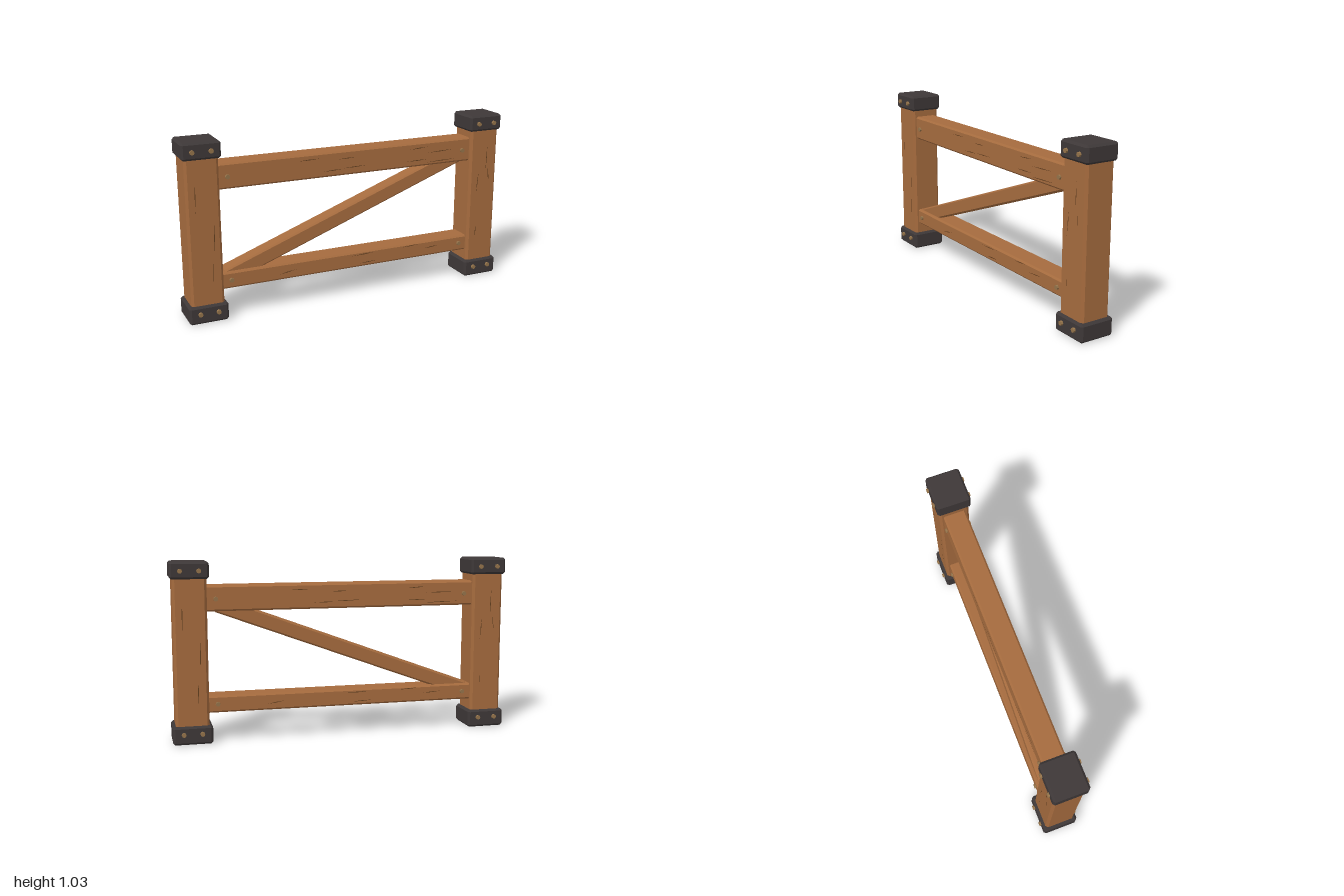
import * as THREE from 'three';
import { ConvexGeometry } from 'three/addons/geometries/ConvexGeometry.js';

const mat = (name, color, extra = {}) => {
  const m = new THREE.MeshStandardMaterial({ color, ...extra });
  m.name = name;
  return m;
};

// Box with every edge cut by a flat chamfer c
function chamferBox(w, h, d, c) {
  const pts = [];
  for (const sx of [-1, 1]) for (const sy of [-1, 1]) for (const sz of [-1, 1]) {
    for (let a = 0; a < 3; a++) {
      const p = [w / 2, h / 2, d / 2].map((v, i) => (i === a ? v : v - c));
      pts.push(new THREE.Vector3(p[0] * sx, p[1] * sy, p[2] * sz));
    }
  }
  return new ConvexGeometry(pts);
}

export function createModel() {
  const wood = mat('wood', 0xa56b3e);
  const iron = mat('dark iron', 0x3e3838);
  const brass = mat('aged brass', 0x94734a);
  const grain = mat('wood grain', 0x64401f, { side: THREE.DoubleSide });
  const model = new THREE.Group();
  model.name = 'fencePanel';

  const add = (name, geo, material, x, y, z) => {
    const mesh = new THREE.Mesh(geo, material);
    mesh.name = name;
    mesh.position.set(x, y, z);
    model.add(mesh);
    return mesh;
  };

  // Bolt heads, on the front and the back
  const boltGeo = new THREE.CylinderGeometry(0.013, 0.015, 0.03, 8).toNonIndexed();
  boltGeo.computeVertexNormals();
  boltGeo.rotateX(Math.PI / 2);
  const bolts = (name, x, y, tip) => {
    for (const s of [-1, 1]) {
      const bolt = add(name, boltGeo, brass, x, y, s * (tip - 0.015));
      if (s < 0) bolt.rotation.y = Math.PI;
    }
  };

  // Posts with iron caps and feet
  for (const s of [-1, 1]) {
    const x = s * 0.887;
    add('post', chamferBox(0.19, 0.95, 0.18, 0.014), wood, x, 0.52, 0);
    add('footCap', chamferBox(0.225, 0.105, 0.21, 0.012), iron, x, 0.0525, 0);
    add('topCap', chamferBox(0.218, 0.097, 0.203, 0.012), iron, x, 0.9825, 0);
    for (const dx of [-0.052, 0.052]) {
      bolts('footBolt', x + dx, 0.06, 0.117);
      bolts('capBolt', x + dx, 0.98, 0.113);
    }
    bolts('upperRailBolt', s * 0.742, 0.82, 0.078);
    bolts('lowerRailBolt', s * 0.742, 0.22, 0.078);
  }

  // Rails and the diagonal brace
  const railZ = 0.067;
  add('upperRail', chamferBox(1.62, 0.145, railZ * 2, 0.01), wood, 0, 0.8225, 0);
  add('lowerRail', chamferBox(1.62, 0.097, railZ * 2, 0.01), wood, 0, 0.2185, 0);
  const brace = add('brace', chamferBox(1.6, 0.087, 0.095, 0.009), wood, -0.016, 0.508, 0);
  brace.rotation.z = Math.atan(0.371);

  // Grain cracks: slim slivers [x1, y1, x2, y2]
  const railCracks = [
    [-0.33, 0.861, -0.2, 0.865], [-0.08, 0.848, 0.03, 0.852], [0.38, 0.858, 0.5, 0.866],
    [0.5, 0.828, 0.68, 0.835], [-0.18, 0.785, -0.05, 0.79], [-0.06, 0.792, 0.1, 0.797],
    [0.36, 0.787, 0.5, 0.79], [0.49, 0.77, 0.7, 0.776],
    [-0.46, 0.205, -0.35, 0.222], [0, 0.245, 0.16, 0.252], [0.05, 0.192, 0.17, 0.198],
    [0.34, 0.25, 0.46, 0.257], [0.49, 0.222, 0.6, 0.23],
  ];
  const postCracks = [
    [-0.932, 0.64, -0.93, 0.81], [-0.838, 0.4, -0.834, 0.61], [-0.855, 0.21, -0.85, 0.38],
    [0.905, 0.68, 0.91, 0.84], [0.842, 0.54, 0.855, 0.68], [0.93, 0.6, 0.92, 0.7],
    [0.848, 0.26, 0.85, 0.33],
  ];
  const sliver = ([x1, y1, x2, y2]) => {
    const dir = new THREE.Vector2(x2 - x1, y2 - y1).normalize().multiplyScalar(0.0025);
    const mx = (x1 + x2) / 2, my = (y1 + y2) / 2;
    return new THREE.Shape([
      new THREE.Vector2(x1, y1), new THREE.Vector2(mx + dir.y, my - dir.x),
      new THREE.Vector2(x2, y2), new THREE.Vector2(mx - dir.y, my + dir.x),
    ]);
  };
  for (const [name, cracks, z] of [['railGrain', railCracks, railZ], ['postGrain', postCracks, 0.09]]) {
    const geo = new THREE.ShapeGeometry(cracks.map(sliver));
    add(name + 'Front', geo, grain, 0, 0, z + 0.0015);
    add(name + 'Back', geo, grain, 0, 0, -z - 0.0015).rotation.y = Math.PI;
  }
  return model;
}
